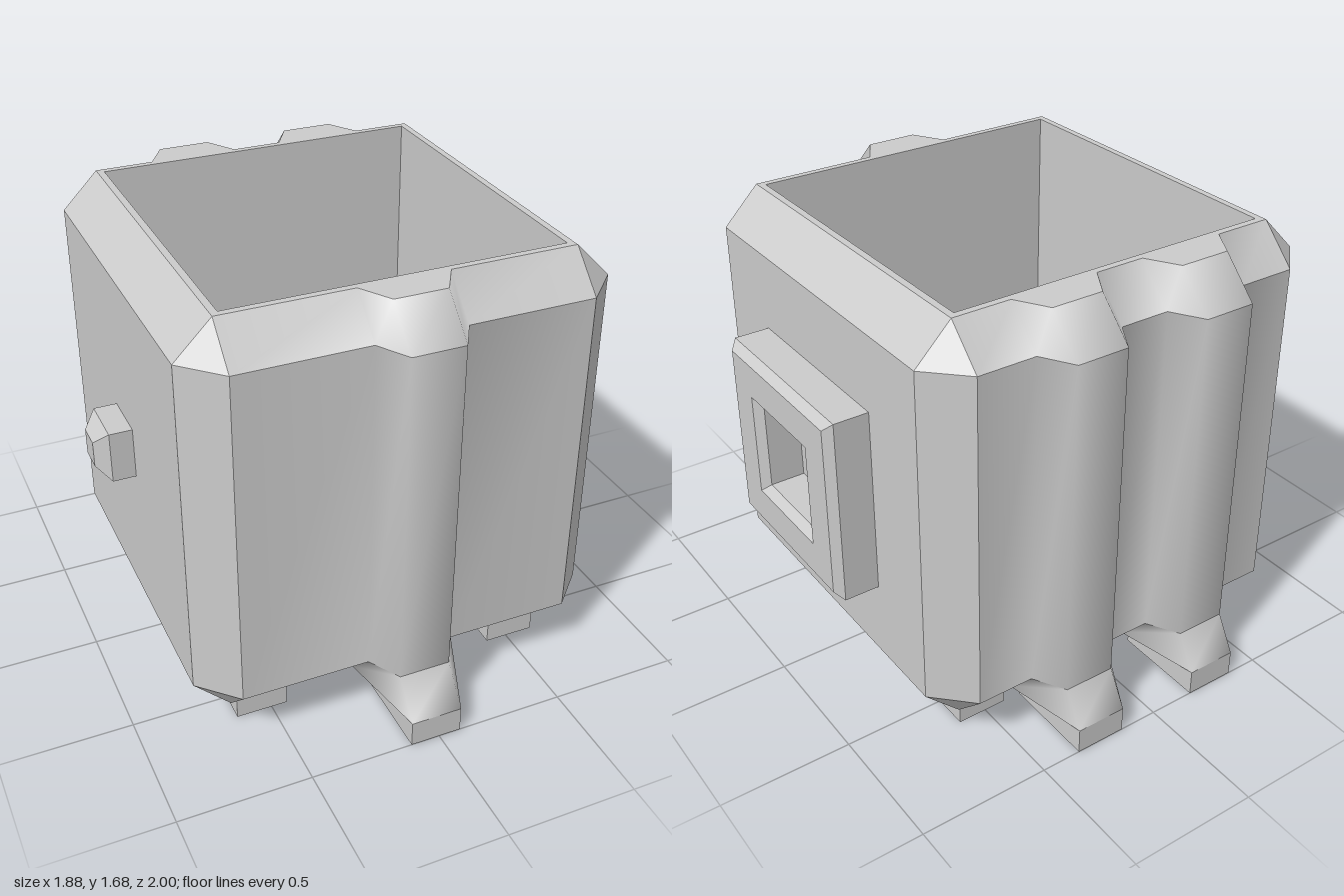
import * as THREE from 'three';

const X0 = -0.803, X1 = 0.773, Z0 = -0.805, Z1 = 0.775; // outer walls
const C = 0.137;  // chamfer
const RIB = 0.118; // rib depth
const BASE = 0.1;  // underside height
const material = new THREE.MeshStandardMaterial({ color: 0xcccccc });

function addMesh(parent, name, geometry) {
  const m = new THREE.Mesh(geometry, material);
  m.name = name;
  parent.add(m);
  return m;
}

// Strip between two open [x, z] paths; smooth within the strip, sharp outside it
function strip(low, yLow, high, yHigh) {
  const pos = [], index = [];
  low.forEach(([x, z], i) => pos.push(x, yLow, z, high[i][0], yHigh, high[i][1]));
  for (let i = 0; i < low.length - 1; i++) {
    const a = 2 * i;
    index.push(a, a + 2, a + 3, a, a + 3, a + 1);
  }
  const g = new THREE.BufferGeometry();
  g.setAttribute('position', new THREE.Float32BufferAttribute(pos, 3));
  g.setIndex(index);
  g.computeVertexNormals();
  return g;
}

// Wall panels at one level, counter-clockwise from above: front, right, back, left
function panels(inset, flared) {
  const f = Z1 - inset, b = Z0 + inset, r = X1 - inset, l = X0 + inset;
  const fr = flared ? 1 : f + RIB, br = flared ? -1 : b - RIB;
  const xa = X0 + C, xb = X1 - C, za = Z0 + C, zb = Z1 - C;
  const rib = (cx, z, zr) => [[cx - 0.168, z], [cx - 0.098, zr], [cx + 0.098, zr], [cx + 0.168, z]];
  return [
    [[xa, f], ...rib(-0.013, f, fr), [xb, f]],
    [[r, zb], [r, za]],
    [[xb, b], ...rib(0.248, b, br).reverse(), ...rib(-0.277, b, br).reverse(), [xa, b]],
    [[l, za], [l, zb]],
  ];
}

// Bevelled square block, optionally with a square opening, growing along +z
function bevelledBlock(half, hole, depth, bevel) {
  const square = (T, h) => new T([[-h, -h], [h, -h], [h, h], [-h, h]].map(p => new THREE.Vector2(...p)));
  const s = square(THREE.Shape, half);
  if (hole) s.holes.push(square(THREE.Path, hole));
  return new THREE.ExtrudeGeometry(s, {
    depth, bevelEnabled: true, bevelSize: bevel, bevelThickness: bevel, bevelSegments: 1,
  });
}

export function createModel() {
  const model = new THREE.Group();
  model.name = 'openBox';

  // Body: chamfered walls with ribs, flaring into legs at the bottom
  const body = new THREE.Group();
  body.name = 'body';
  model.add(body);
  const levels = [
    { y: BASE, p: panels(C, true) },
    { y: 0.235, p: panels(0, false) },
    { y: 1.54, p: panels(0, false) },
    { y: 1.678, p: panels(C, false) },
  ];
  const bands = ['lowerChamfer', 'wall', 'upperChamfer'];
  const sides = ['front', 'right', 'back', 'left'];
  const corner = (p, i) => [p[i][p[i].length - 1], p[(i + 1) % 4][0]];
  bands.forEach((band, k) => {
    const lo = levels[k], hi = levels[k + 1];
    sides.forEach((side, i) => {
      addMesh(body, `${band} ${side}`, strip(lo.p[i], lo.y, hi.p[i], hi.y));
      addMesh(body, `${band} corner ${side}`, strip(corner(lo.p, i), lo.y, corner(hi.p, i), hi.y));
    });
  });

  // Underside and top rim
  const outline = (p, s) => [...p[0], ...p[2]].map(([x, z]) => new THREE.Vector2(x, s * z));
  const under = new THREE.ShapeGeometry(new THREE.Shape(outline(levels[0].p, 1)));
  addMesh(body, 'underside', under.rotateX(Math.PI / 2).translate(0, BASE, 0));

  const pocket = [[-0.64, 0.612], [0.61, 0.612], [0.61, -0.642], [-0.64, -0.642]];
  const rim = new THREE.Shape(outline(levels[3].p, -1));
  rim.holes.push(new THREE.Path(pocket.map(([x, z]) => new THREE.Vector2(x, -z))));
  addMesh(body, 'rim', new THREE.ShapeGeometry(rim).rotateX(-Math.PI / 2).translate(0, 1.678, 0));

  // Open pocket inside
  const floorY = 0.13;
  pocket.forEach((p, i) => {
    const edge = [pocket[(i + 1) % 4], p];
    addMesh(body, 'innerWall', strip(edge, floorY, edge, 1.678));
  });
  addMesh(body, 'innerFloor', new THREE.PlaneGeometry(1.25, 1.254).rotateX(-Math.PI / 2)
    .translate(-0.015, floorY, -0.015));

  // Square frame on one side, small knob on the other
  const frame = addMesh(model, 'sideFrame', bevelledBlock(0.33, 0.2, 0.155, 0.03));
  frame.position.set(0.75, 0.888, -0.012);
  frame.rotation.y = Math.PI / 2;
  const knob = addMesh(model, 'sideKnob', bevelledBlock(0.05, 0, 0.11, 0.05));
  knob.position.set(-0.78, 0.888, -0.015);
  knob.rotation.y = -Math.PI / 2;

  // Feet: long ones under the legs, short ones at the corners
  const foot = (name, x, za, zb) =>
    addMesh(model, name, new THREE.BoxGeometry(0.196, BASE, zb - za)).position.set(x, BASE / 2, (za + zb) / 2);
  foot('frontFoot', -0.013, 0.615, 1);
  for (const x of [-0.277, 0.248]) foot('backFoot', x, -1, -0.635);
  for (const x of [-0.538, 0.513]) {
    foot('frontCornerFoot', x, 0.42, 0.615);
    foot('backCornerFoot', x, -0.635, -0.44);
  }
  return model;
}
